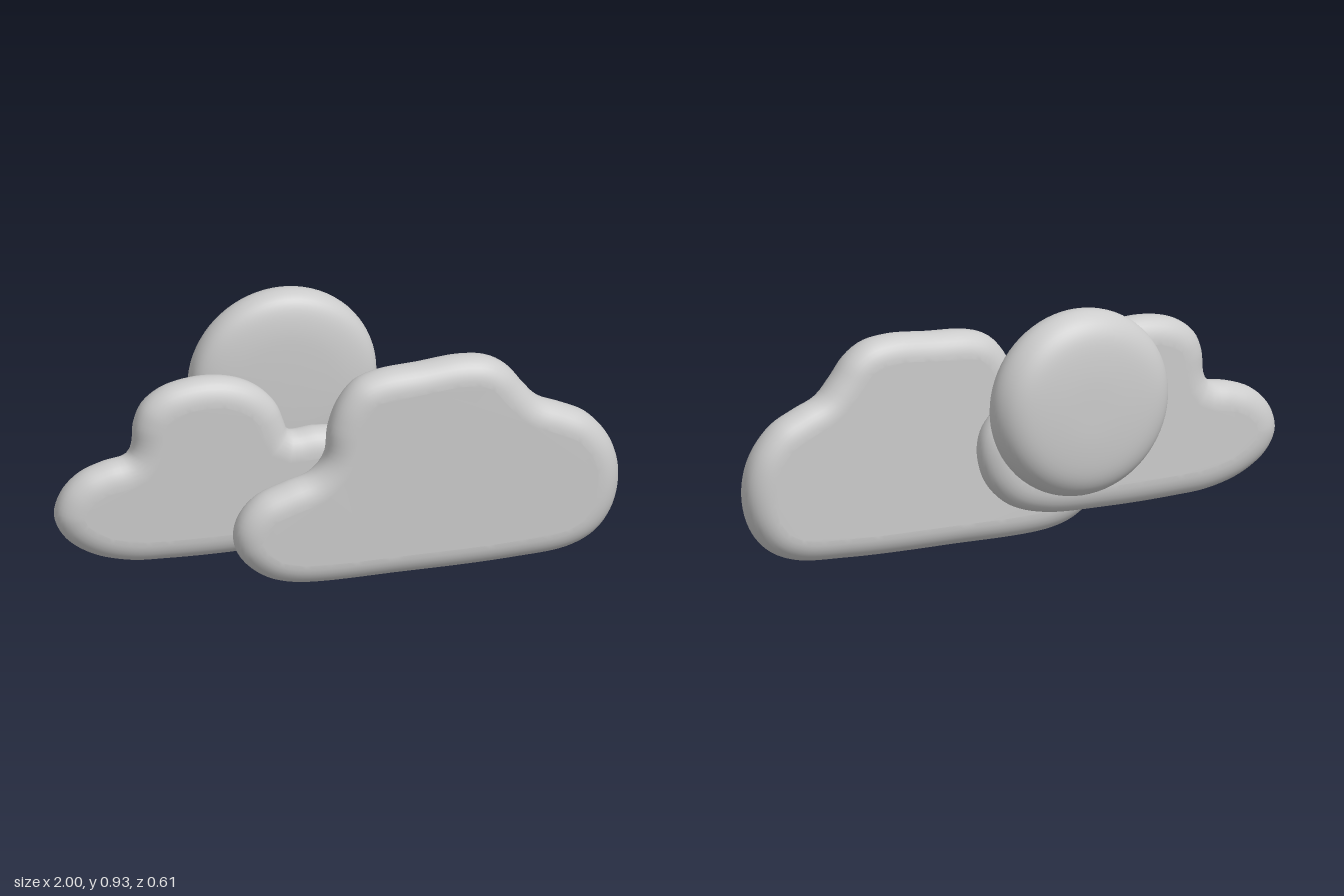
import * as THREE from 'three';
import { mergeVertices } from 'three/addons/utils/BufferGeometryUtils.js';

const material = new THREE.MeshStandardMaterial({ color: 0xcccccc });

// Weld shared points so the whole surface shades smoothly
function smooth(geometry) {
  geometry.deleteAttribute('normal');
  geometry.deleteAttribute('uv');
  const welded = mergeVertices(geometry, 1e-4);
  welded.computeVertexNormals();
  return welded;
}

// Pillow-edged slab from a closed smooth outline, between two depths
function puffySlab(name, outline, zBack, zFront, edge) {
  const curve = new THREE.CatmullRomCurve3(
    outline.map(([x, y]) => new THREE.Vector3(x, y, 0)), true);
  const points = curve.getSpacedPoints(150).slice(0, -1)
    .map(p => new THREE.Vector2(p.x, p.y));
  const thickness = (zFront - zBack) * 0.46;
  const geometry = new THREE.ExtrudeGeometry(new THREE.Shape(points), {
    depth: zFront - zBack - 2 * thickness,
    bevelThickness: thickness,
    bevelSize: edge,
    bevelOffset: -edge,
    bevelSegments: 8,
  });
  geometry.translate(0, 0, zBack + thickness);
  const mesh = new THREE.Mesh(smooth(geometry), material);
  mesh.name = name;
  return mesh;
}

// Rounded disc whose back tapers toward one side
function sunDisc() {
  const half = new THREE.SplineCurve([
    [0, -0.11], [0.12, -0.108], [0.23, -0.095], [0.29, -0.07], [0.325, -0.03],
    [0.3375, 0.015], [0.325, 0.06], [0.285, 0.088], [0.21, 0.104],
    [0.11, 0.109], [0, 0.11],
  ].map(([r, z]) => new THREE.Vector2(r, z)));
  const profile = half.getPoints(40);
  profile.forEach(p => { p.x = Math.max(p.x, 0); });
  const geometry = new THREE.LatheGeometry(profile, 72);
  geometry.rotateX(Math.PI / 2);
  const pos = geometry.attributes.position;
  for (let i = 0; i < pos.count; i++) {
    const z = pos.getZ(i);
    const side = (0.3375 - pos.getX(i)) / 0.675;
    if (z < 0) pos.setZ(i, z * (1.04 - 0.3 * side));
  }
  const mesh = new THREE.Mesh(smooth(geometry), material);
  mesh.name = 'sun';
  mesh.position.set(-0.1, 0.592, -0.2);
  return mesh;
}

export function createModel() {
  const model = new THREE.Group();
  model.name = 'cloudsAndSun';

  // Large cloud in front
  model.add(puffySlab('frontCloud', [
    [-0.18, 0.01], [-0.29, 0.05], [-0.37, 0.13], [-0.385, 0.21], [-0.36, 0.28],
    [-0.3, 0.34], [-0.2, 0.38], [-0.11, 0.41], [-0.06, 0.47], [-0.045, 0.58],
    [-0.01, 0.67], [0.05, 0.74], [0.13, 0.77], [0.28, 0.783], [0.43, 0.795],
    [0.53, 0.78], [0.6, 0.735], [0.655, 0.665], [0.71, 0.605], [0.79, 0.57],
    [0.885, 0.52], [0.965, 0.42], [0.995, 0.3], [0.975, 0.175], [0.91, 0.08],
    [0.81, 0.03], [0.6, 0.01], [0.22, 0.003],
  ], 0.155, 0.31, 0.085));

  // Smaller cloud behind it
  model.add(puffySlab('middleCloud', [
    [-0.35, 0.097], [-0.6, 0.1], [-0.74, 0.11], [-0.87, 0.15], [-0.965, 0.22],
    [-1, 0.3], [-0.975, 0.385], [-0.91, 0.45], [-0.82, 0.485], [-0.74, 0.503],
    [-0.722, 0.54], [-0.715, 0.62], [-0.685, 0.69], [-0.61, 0.745],
    [-0.48, 0.77], [-0.36, 0.755], [-0.27, 0.71], [-0.205, 0.64],
    [-0.177, 0.57], [-0.16, 0.53], [-0.06, 0.532], [0.05, 0.51], [0.12, 0.44],
    [0.14, 0.35], [0.11, 0.24], [0.03, 0.155], [-0.1, 0.11],
  ], 0.045, 0.19, 0.09));

  // Sun at the back
  model.add(sunDisc());
  return model;
}
